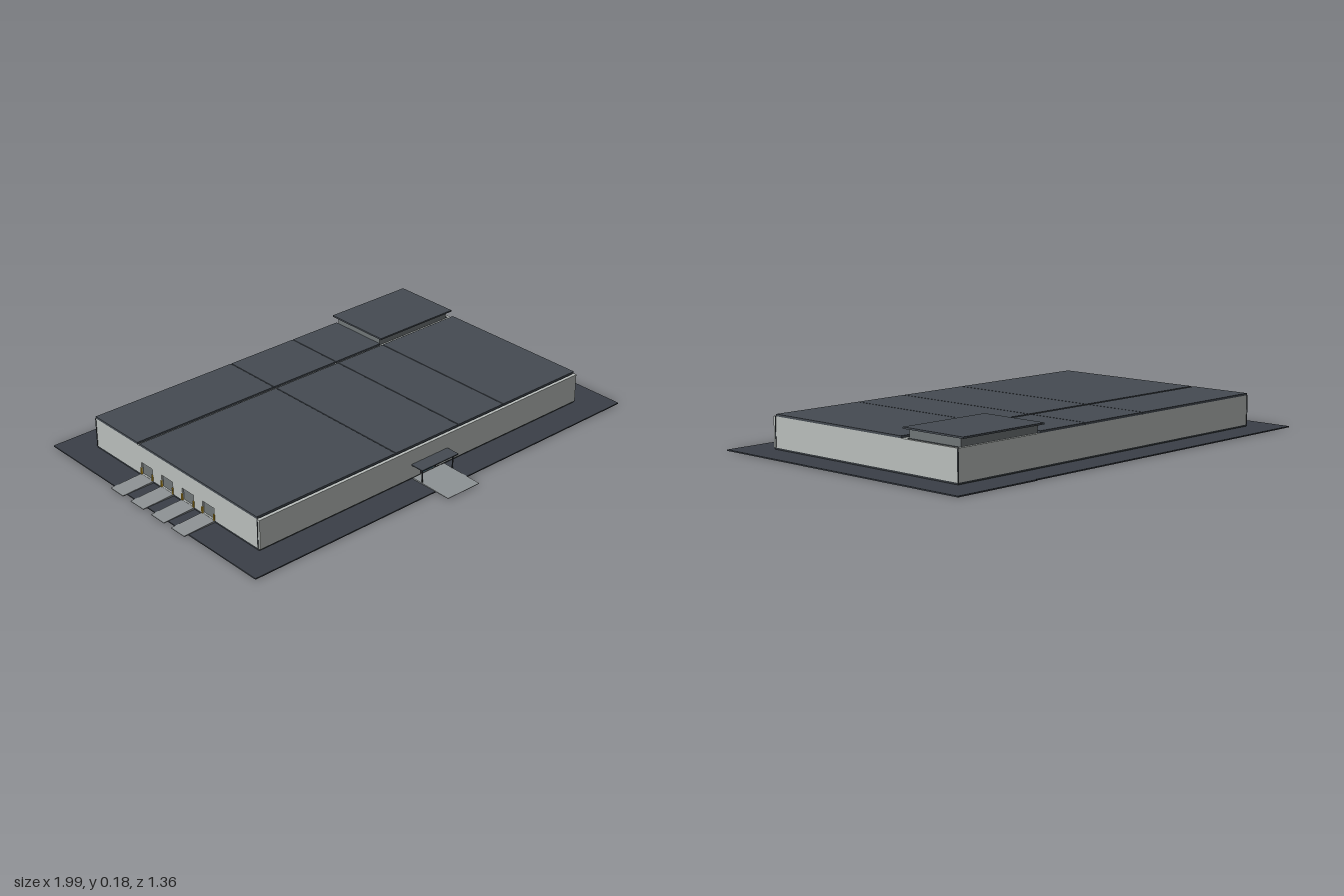
import * as THREE from 'three';

const mat = (color) => new THREE.MeshStandardMaterial({ color, flatShading: true });
const M = {
  ground: mat(0x3a3f47), roof: mat(0x454b52), wall: mat(0xb9bebb), trim: mat(0x33383c),
  ramp: mat(0x8d9294), glass: mat(0x2a7392), yellow: mat(0xd0a528), dock: mat(0x6f7577),
};

export function createModel() {
  const root = new THREE.Group();

  // box given by its min and max on each axis
  const box = (name, m, x0, x1, y0, y1, z0, z1) => {
    const b = new THREE.Mesh(new THREE.BoxGeometry(x1 - x0, y1 - y0, z1 - z0), m);
    b.position.set((x0 + x1) / 2, (y0 + y1) / 2, (z0 + z1) / 2);
    b.name = name;
    root.add(b);
    return b;
  };

  // wall panel in the local xy plane with rectangular openings [x0, x1, y0, y1]
  const wallWithHoles = (name, x0, x1, y0, y1, depth, holes) => {
    const rect = (P, a, b, c, d) => new P([[a, c], [b, c], [b, d], [a, d]].map(([x, y]) => new THREE.Vector2(x, y)));
    const shape = rect(THREE.Shape, x0, x1, y0, y1);
    holes.forEach((h) => shape.holes.push(rect(THREE.Path, ...h)));
    const w = new THREE.Mesh(new THREE.ExtrudeGeometry(shape, { depth, bevelEnabled: false }), M.wall);
    w.name = name;
    root.add(w);
    return w;
  };

  // sloping ramp: side profile [run, height] extruded across its width
  const ramp = (name, run, width, high, low) => {
    const s = new THREE.Shape([[0, 0.003], [run, 0.003], [run, low], [0, high]].map(([x, y]) => new THREE.Vector2(x, y)));
    const g = new THREE.ExtrudeGeometry(s, { depth: width, bevelEnabled: false }).translate(0, 0, -width / 2);
    const r = new THREE.Mesh(g, M.ramp);
    r.name = name;
    root.add(r);
    return r;
  };

  const L = -0.845, R = 0.865, B = -0.545, F = 0.48, FLOOR = 0.012, TOP = 0.137, T = 0.012;

  // paved yard and floor slab
  box('yard', M.ground, -0.97, 1, 0, 0.005, -0.675, 0.605);
  box('yardEdge', M.ground, 0.6, 1, 0, 0.005, -0.68, -0.675);
  box('floorSlab', M.trim, L, R, 0.005, FLOOR, B, F - 0.005);

  // outer walls
  const docks = [-0.21, -0.08, 0.05, 0.175];
  wallWithHoles('frontWall', L, R, FLOOR, TOP, T, [[-0.035, 0.055, FLOOR + 0.001, 0.064]]).position.z = F - T;
  const dockWall = wallWithHoles('dockWall', B, F - T, FLOOR, TOP, T,
    docks.map((z) => [z - 0.035, z + 0.035, FLOOR + 0.001, 0.065]));
  dockWall.rotation.y = -Math.PI / 2;
  dockWall.position.x = L + T;
  box('backWall', M.wall, L + T, R, FLOOR, TOP, B, B + T);
  box('sideWall', M.wall, R - T, R, FLOOR, TOP, B + T, F - T);
  box('partitionWall', M.wall, L + T, R - T, FLOOR, TOP, -0.268, -0.248);

  // slim corner trims
  for (const x of [L, R]) for (const z of [B, F - 0.012]) {
    box('cornerTrim', M.trim, x - 0.002, x + 0.002, FLOOR, TOP, z - 0.002, z + 0.002);
  }

  // roof panels separated by narrow joints
  const joints = [L, -0.155, 0.185, 0.44, R];
  for (let i = 0; i < 4; i++) {
    const a = joints[i] + (i ? 0.002 : 0), b = joints[i + 1] - (i < 3 ? 0.002 : 0);
    box('frontRoofPanel', M.roof, a, b, TOP, 0.146, -0.25, 0.465);
    if (i < 3) box('backRoofPanel', M.roof, a, b, TOP, 0.146, B, -0.265);
  }
  box('roofUnderlay', M.trim, L + T, R - T, TOP - 0.006, TOP - 0.001, B + T, F - T);

  // raised plant room with an overhanging roof
  box('plantRoom', M.dock, 0.44, 0.84, TOP - 0.001, 0.171, -0.535, -0.27);
  box('plantRoomRoof', M.roof, 0.43, 0.855, 0.171, 0.178, -0.56, -0.25);

  // main entrance
  box('entranceDoor', M.glass, -0.02, 0.04, FLOOR, 0.058, F - 0.008, F - 0.003);
  box('entranceBacking', M.dock, -0.036, 0.056, FLOOR, 0.065, F - 0.012, F - 0.009);
  for (const x of [-0.026, 0.046]) box('entranceFrame', M.trim, x - 0.003, x + 0.003, FLOOR, 0.06, F - 0.008, F + 0.002);
  box('entranceLintel', M.yellow, -0.029, 0.049, 0.058, 0.062, F - 0.008, F + 0.002);
  box('canopy', M.roof, -0.085, 0.112, 0.07, 0.074, 0.474, 0.542);
  for (const x of [-0.07, 0.095]) box('canopyPost', M.trim, x - 0.002, x + 0.002, 0.005, 0.07, 0.525, 0.529);
  const entry = ramp('entranceRamp', 0.195, 0.17, 0.011, 0.005);
  entry.rotation.y = -Math.PI / 2;
  entry.position.set(0.01, 0, F);

  // loading docks along the side
  for (const z of docks) {
    const r = ramp('dockRamp', 0.145, 0.08, 0.013, 0.006);
    r.rotation.y = Math.PI;
    r.position.set(L - 0.001, 0, z);
    box('dockDoor', M.dock, L + 0.007, L + 0.01, FLOOR, 0.066, z - 0.036, z + 0.036);
    for (const s of [-1, 1]) {
      const e = z + s * 0.036;
      box('dockGuard', M.yellow, L - 0.004, L + 0.002, FLOOR, 0.04, e - 0.003, e + 0.003);
    }
  }

  // overall fit along x
  root.position.set(-0.0, 0, 0);
  return root;
}
